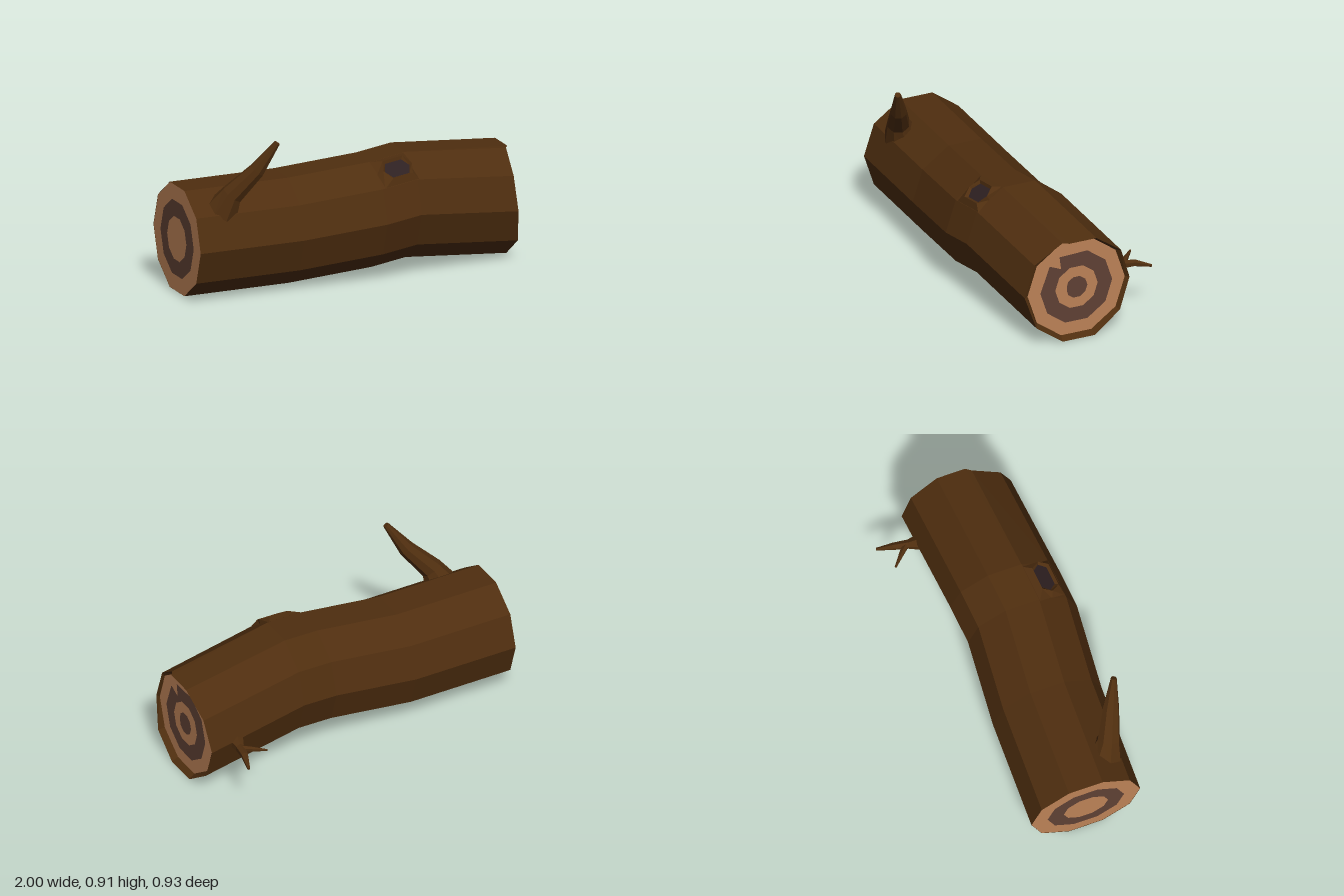
import * as THREE from 'three';

const V = (x, y, z) => new THREE.Vector3(x, y, z);
const mat = (color) => new THREE.MeshStandardMaterial({ color, flatShading: true, roughness: 1, side: THREE.DoubleSide });
const bark = mat(0x4f2e0f);
const paleWood = mat(0xbd8257);
const darkWood = mat(0x5f4134);
const hollow = mat(0x2e2021);

// Skin a list of closed rings that all have the same number of points
function loft(rings, capEnd = false) {
  const n = rings[0].length;
  const pos = [];
  const tri = (...pts) => pts.forEach((p) => pos.push(p.x, p.y, p.z));
  for (let i = 0; i < rings.length - 1; i++) {
    for (let j = 0; j < n; j++) {
      const k = (j + 1) % n;
      const [a, b, c, d] = [rings[i][j], rings[i + 1][j], rings[i + 1][k], rings[i][k]];
      tri(a, b, c);
      tri(a, c, d);
    }
  }
  if (capEnd) {
    const last = rings[rings.length - 1];
    for (let j = 1; j < n - 1; j++) tri(last[0], last[j], last[j + 1]);
  }
  const g = new THREE.BufferGeometry();
  g.setAttribute('position', new THREE.Float32BufferAttribute(pos, 3));
  g.computeVertexNormals();
  return g;
}

function add(parent, name, geometry, material) {
  const mesh = new THREE.Mesh(geometry, material);
  mesh.name = name;
  parent.add(mesh);
  return mesh;
}

// Ten-sided section across the log, with one extra point for the bark step
function section(cx, cy, cz, r, xs) {
  const pts = [];
  for (let i = 0; i < 10; i++) {
    const a = (i * Math.PI) / 5;
    pts.push(V(cx, cy + r * Math.sin(a), cz + r * Math.cos(a)));
  }
  pts.splice(3, 0, pts[2].clone().lerp(pts[3], 0.16));
  if (xs) pts.forEach((p, i) => (p.x = xs[i]));
  return pts;
}

// Tapered eight-sided limb; nodes are [x, y, z, radius]
function limb(nodes, ref, sides = 8) {
  const p = nodes.map((q) => V(q[0], q[1], q[2]));
  const rings = p.map((c, i) => {
    const t = p[Math.min(i + 1, p.length - 1)].clone().sub(p[Math.max(i - 1, 0)]).normalize();
    const u = ref.clone().addScaledVector(t, -ref.dot(t)).normalize();
    const v = u.clone().cross(t);
    return Array.from({ length: sides }, (_, j) => {
      const a = (j / sides) * Math.PI * 2;
      return c.clone().addScaledVector(u, nodes[i][3] * Math.cos(a)).addScaledVector(v, nodes[i][3] * Math.sin(a));
    });
  });
  return loft(rings, true);
}

// Flat growth-ring outline, as [toward front, up] points
const decagon = (r) => Array.from({ length: 10 }, (_, i) => [r * Math.cos((i * Math.PI) / 5), r * Math.sin((i * Math.PI) / 5)]);

function disc(parent, name, pts, material, x, y, z, dir) {
  const shape = new THREE.Shape(pts.map(([a, b]) => new THREE.Vector2(-dir * a, b)));
  const m = add(parent, name, new THREE.ShapeGeometry(shape), material);
  m.rotation.y = (dir * Math.PI) / 2;
  m.position.set(x, y, z);
}

export function createModel() {
  const log = new THREE.Group();
  log.name = 'log';

  // Bent trunk, ending in a ragged bark rim around the right-hand cut
  const rimX = [0.955, 0.953, 0.978, 1.0, 1.0, 0.98, 0.96, 0.965, 0.98, 0.98, 0.978];
  add(log, 'trunkBark', loft([
    section(-1, 0.315, 0.11, 0.32),
    section(-0.37, 0.315, 0.11, 0.32),
    section(0.12, 0.355, 0.14, 0.32),
    section(0.34, 0.378, 0.115, 0.32),
    section(0.96, 0.306, 0.052, 0.32, rimX),
    section(0.945, 0.308, 0.052, 0.298),
  ]), bark);

  // Growth rings on the broken end, two of them split
  const outer = decagon(0.22);
  outer.splice(1, 2, [0.163, 0.157], [0.093, 0.127], [0.103, 0.202]);
  const core = decagon(0.066);
  core.splice(0, 1, [0.06, 0.022], [0.02, 0], [0.06, -0.023]);
  const broken = [[decagon(0.3), paleWood], [outer, darkWood], [decagon(0.13), paleWood], [core, darkWood]];
  broken.forEach(([pts, m], i) => disc(log, 'brokenEndRing' + (i + 1), pts, m, 0.945 + i * 0.002, 0.308, 0.052, 1));

  // Growth rings on the sawn end
  [[0.32, paleWood], [0.225, darkWood], [0.13, paleWood]].forEach(([r, m], i) =>
    disc(log, 'sawnEndRing' + (i + 1), decagon(r), m, -0.998 - i * 0.002, 0.315, 0.11, -1));

  // Large branch on the upper front
  add(log, 'branch', limb([
    [-0.81, 0.5, 0.29, 0.1], [-0.765, 0.605, 0.33, 0.064],
    [-0.64, 0.745, 0.388, 0.046], [-0.54, 0.905, 0.44, 0.017],
  ], V(0, 0, 1)), bark);

  // Forked twig on the back
  const twig = new THREE.Group();
  twig.name = 'forkedTwig';
  add(twig, 'twigStem', limb([
    [0.785, 0.305, -0.23, 0.045], [0.795, 0.3, -0.29, 0.026],
    [0.81, 0.302, -0.37, 0.021], [0.835, 0.276, -0.463, 0.008],
  ], V(0, 1, 0), 6), bark);
  add(twig, 'twigFork', limb([
    [0.797, 0.302, -0.3, 0.02], [0.75, 0.31, -0.345, 0.015], [0.685, 0.315, -0.403, 0.006],
  ], V(0, 1, 0), 6), bark);
  log.add(twig);

  // Knot hole: raised lip around a dark hexagon
  const knot = new THREE.Group();
  knot.name = 'knotHole';
  const hex = (cx, w, wSide, h, z) =>
    [[w, 0], [wSide, -h], [-wSide, -h], [-w, 0], [-wSide, h], [wSide, h]].map(([x, y]) => V(cx + x, y, z));
  const inner = hex(0.015, 0.08, 0.052, 0.05, 0.012);
  add(knot, 'knotLip', loft([
    hex(0, 0.112, 0.112, 0.1, -0.004),
    hex(0.015, 0.092, 0.064, 0.064, 0.026),
    inner,
  ]), bark);
  add(knot, 'knotHollow', new THREE.ShapeGeometry(new THREE.Shape(inner.map((p) => new THREE.Vector2(p.x, p.y)))), hollow).position.z = 0.013;
  const along = V(0.22, 0.023, -0.025).normalize();
  const up = V(0, 0.81, 0.59).cross(along).normalize();
  knot.quaternion.setFromRotationMatrix(new THREE.Matrix4().makeBasis(along, up, along.clone().cross(up)));
  knot.position.set(0.23, 0.613, 0.307);
  log.add(knot);

  return log;
}
